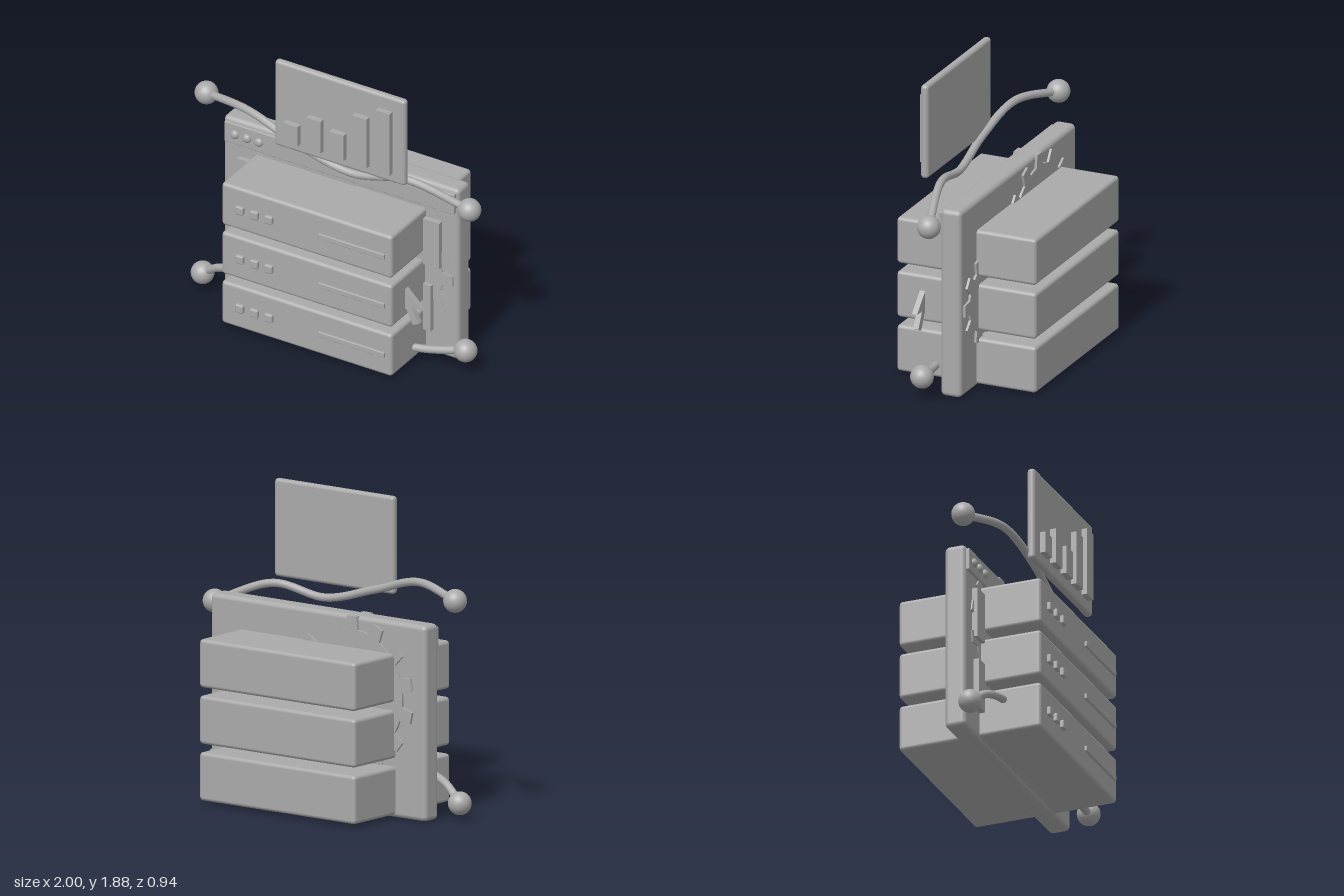
import * as THREE from 'three';
import { RoundedBoxGeometry } from 'three/addons/geometries/RoundedBoxGeometry.js';

const grey = new THREE.MeshStandardMaterial({ color: 0xaaaaaa });
grey.name = 'plain grey';

export function createModel() {
  const model = new THREE.Group();

  const add = (name, geometry, x = 0, y = 0, z = 0, parent = model) => {
    const mesh = new THREE.Mesh(geometry, grey);
    mesh.name = name;
    mesh.position.set(x, y, z);
    parent.add(mesh);
    return mesh;
  };
  // Box given by its limits; r > 0 rounds the edges
  const box = (name, [x0, x1], [y0, y1], [z0, z1], r = 0, parent = model) => {
    const size = [x1 - x0, y1 - y0, z1 - z0];
    const g = r ? new RoundedBoxGeometry(...size, 4, r) : new THREE.BoxGeometry(...size);
    return add(name, g, (x0 + x1) / 2, (y0 + y1) / 2, (z0 + z1) / 2, parent);
  };
  const plate = (shape, depth) =>
    new THREE.ExtrudeGeometry(shape, { depth, bevelEnabled: false, curveSegments: 12 });

  // Browser window panel with title bar, buttons and content cards
  box('windowPanel', [-0.83, 0.83], [0, 1.2], [-0.08, 0.055], 0.03);
  box('titleBar', [-0.81, 0.81], [1.035, 1.175], [0.03, 0.075], 0.005);
  for (const x of [-0.735, -0.65, -0.565]) {
    add('windowButton', new THREE.SphereGeometry(0.029, 20, 14), x, 1.105, 0.075).scale.z = 0.75;
  }
  box('upperCard', [-0.715, 0.715], [0.63, 0.95], [0.04, 0.09]);
  box('lowerLeftCard', [-0.695, -0.05], [0.17, 0.49], [0.04, 0.09]);
  box('lowerRightCard', [0.07, 0.655], [0.17, 0.49], [0.04, 0.09]);

  // Gears running through the panel, with tapered teeth
  const gear = (name, x, y, teeth, rOut, rIn, start) => {
    const shape = new THREE.Shape();
    const step = (Math.PI * 2) / teeth;
    for (let i = 0; i < teeth; i++) {
      const a = start + i * step;
      const points = [[-0.5, rIn], [-0.046 / rIn / step, rIn], [-0.036 / rOut / step, rOut],
        [0.036 / rOut / step, rOut], [0.046 / rIn / step, rIn]];
      points.forEach(([t, r], k) => {
        const px = r * Math.cos(a + t * step), py = r * Math.sin(a + t * step);
        if (i + k === 0) shape.moveTo(px, py); else shape.lineTo(px, py);
      });
    }
    shape.closePath();
    add(name, plate(shape, 0.16), x, y, -0.095);
  };
  gear('largeGear', -0.275, 0.73, 14, 0.47, 0.39, Math.PI / 2);
  gear('smallGear', 0.515, 0.55, 10, 0.28, 0.21, 0);

  // Three stacked server units
  for (const y of [0.165, 0.512, 0.858]) {
    const server = new THREE.Group();
    server.name = 'serverUnit';
    model.add(server);
    box('serverCase', [-0.6, 0.6], [y - 0.148, y + 0.148], [-0.472, 0.45], 0.022, server);
    for (const x of [-0.465, -0.362, -0.26]) {
      box('statusLight', [x - 0.028, x + 0.028], [y - 0.028, y + 0.028], [0.43, 0.472], 0.01, server);
    }
    box('driveSlot', [0.09, 0.555], [y - 0.017, y + 0.017], [0.43, 0.465], 0.004, server);
  }

  // Floating chart
  box('chartBoard', [-0.322, 0.598], [1.28, 1.88], [0.245, 0.295], 0.022);
  [1.485, 1.575, 1.53, 1.695, 1.785].forEach((top, i) => {
    const x = -0.185 + i * 0.162;
    box('chartBar', [x - 0.05, x + 0.05], [1.35, top], [0.28, 0.333]);
  });

  // Arrow pointer beside the middle server
  const arrow = new THREE.Shape([
    [0.55, 0.61], [0.55, 0.37], [0.607, 0.425], [0.655, 0.325],
    [0.697, 0.345], [0.645, 0.445], [0.715, 0.447],
  ].map(([x, y]) => new THREE.Vector2(x, y)));
  add('arrowPointer', plate(arrow, 0.035), 0, 0, 0.26);

  // Curved cables with a ball at each end
  const cable = (name, points) => {
    const path = points.map((p) => new THREE.Vector3(...p));
    const curve = new THREE.CatmullRomCurve3(path);
    add(name, new THREE.TubeGeometry(curve, 80, 0.025, 12));
    for (const p of [path[0], path[path.length - 1]]) {
      add('cableBall', new THREE.SphereGeometry(0.072, 28, 20), p.x, p.y, p.z);
    }
  };
  cable('upperCable', [[-0.928, 1.345, 0.085], [-0.55, 1.395, 0.2], [-0.18, 1.295, 0.24],
    [0.18, 1.205, 0.22], [0.55, 1.255, 0.18], [0.925, 1.115, 0.085]]);
  cable('lowerCable', [[-0.928, 0.098, 0.13], [-0.78, 0.2, 0.17], [-0.6, 0.235, 0.21],
    [0, 0.14, 0.25], [0.6, 0.095, 0.19], [0.925, 0.145, 0.13]]);

  return model;
}
